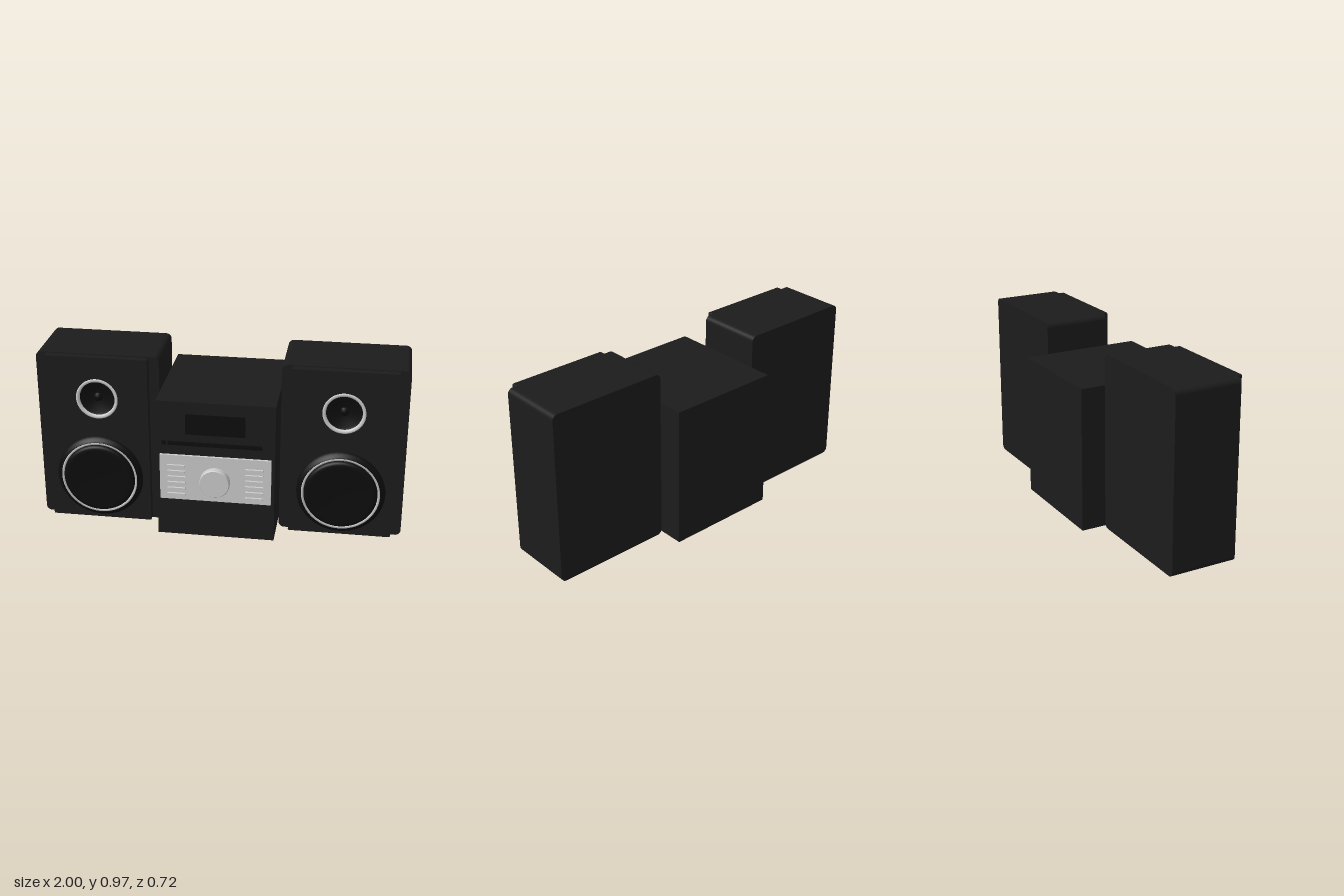
import * as THREE from 'three';

const mat = (color) => new THREE.MeshStandardMaterial({ color });
const black = mat(0x1c1c1c), dark = mat(0x0d0d0d), silver = mat(0xcccccc);

function add(parent, name, geometry, material, x = 0, y = 0, z = 0) {
  const mesh = new THREE.Mesh(geometry, material);
  mesh.name = name;
  mesh.position.set(x, y, z);
  parent.add(mesh);
  return mesh;
}

// Box given by its limits on each axis
function slab(parent, name, material, x0, x1, y0, y1, z0, z1) {
  return add(parent, name, new THREE.BoxGeometry(x1 - x0, y1 - y0, z1 - z0), material,
    (x0 + x1) / 2, (y0 + y1) / 2, (z0 + z1) / 2);
}

// Rectangle standing on y0, centred on x = 0, with rounded corners
function roundedRect(w, y0, y1, r) {
  const s = new THREE.Shape(), h = w / 2;
  s.absarc(h - r, y0 + r, r, -Math.PI / 2, 0);
  s.absarc(h - r, y1 - r, r, 0, Math.PI / 2);
  s.absarc(-h + r, y1 - r, r, Math.PI / 2, Math.PI);
  s.absarc(-h + r, y0 + r, r, Math.PI, Math.PI * 1.5);
  s.closePath();
  return s;
}

// Surface of revolution whose axis points to +z; points are [radius, z], rear to front
function turned(points) {
  const g = new THREE.LatheGeometry(points.map(([r, z]) => new THREE.Vector2(r, z)), 48);
  return g.rotateX(Math.PI / 2);
}

function speaker(name, x) {
  const g = new THREE.Group();
  g.name = name;
  g.position.x = x;
  const woofer = 0.265, tweeter = 0.728;

  // Cabinet with rounded long edges
  add(g, 'cabinet', new THREE.ExtrudeGeometry(roundedRect(0.672, 0, 0.97, 0.03),
    { depth: 0.37, bevelEnabled: false, curveSegments: 6 }), black, 0, 0, -0.225);

  // Narrower front baffle with an opening for the tweeter
  const face = roundedRect(0.56, 0.005, 0.965, 0.006);
  face.holes.push(new THREE.Path().absarc(0, tweeter, 0.1, 0, Math.PI * 2, true));
  add(g, 'baffle', new THREE.ExtrudeGeometry(face,
    { depth: 0.04, bevelEnabled: false, curveSegments: 24 }), black, 0, 0, 0.145);

  // Woofer: stepped surround, bright ring, raised cone
  add(g, 'wooferSurround', turned([[0.24, 0.18], [0.24, 0.19], [0.232, 0.2],
    [0.22, 0.204], [0.216, 0.214], [0.213, 0.214], [0.213, 0.2]]), dark, 0, woofer);
  add(g, 'wooferRing', turned([[0.214, 0.185], [0.214, 0.211], [0.2, 0.211], [0.198, 0.185]]),
    silver, 0, woofer);
  add(g, 'wooferCone', turned([[0.199, 0.185], [0.199, 0.212], [0.192, 0.224],
    [0.182, 0.229], [0.17, 0.228], [0, 0.226]]), dark, 0, woofer);

  // Tweeter: bright ring around a shallow dish and small dome
  add(g, 'tweeterRing', turned([[0.115, 0.18], [0.115, 0.187], [0.108, 0.19],
    [0.098, 0.187], [0.096, 0.175]]), silver, 0, tweeter);
  add(g, 'tweeterDish', turned([[0.1, 0.178], [0.085, 0.17], [0.03, 0.155], [0, 0.155]]),
    dark, 0, tweeter);
  add(g, 'tweeterDome', turned([[0.025, 0.15], [0.022, 0.162], [0.012, 0.169], [0, 0.171]]),
    dark, 0, tweeter);
  return g;
}

function centreUnit() {
  const g = new THREE.Group();
  g.name = 'centreUnit';
  slab(g, 'housing', black, -0.318, 0.318, 0.004, 0.796, -0.357, 0.309);
  slab(g, 'display', dark, -0.16, 0.16, 0.612, 0.728, 0.3, 0.313);

  // Disc slot with its lip and eject button
  slab(g, 'discSlot', dark, -0.255, 0.25, 0.548, 0.568, 0.3, 0.32);
  slab(g, 'ejectButton', dark, -0.288, -0.265, 0.548, 0.568, 0.3, 0.32);

  // Control panel, knob and two columns of keys
  slab(g, 'controlPanel', silver, -0.3, 0.3, 0.227, 0.49, 0.3, 0.323);
  add(g, 'volumeKnob', turned([[0.081, 0.315], [0.081, 0.354], [0.081, 0.354],
    [0.077, 0.36], [0.077, 0.36], [0, 0.36]]), silver, 0, 0.348);
  for (const side of [-1, 1]) {
    for (let i = 0; i < 6; i++) {
      const y = 0.261 + i * 0.0338;
      slab(g, 'key', silver, side * 0.21 - 0.048, side * 0.21 + 0.048, y - 0.006, y + 0.006, 0.31, 0.335);
    }
  }
  return g;
}

export function createModel() {
  const model = new THREE.Group();
  model.name = 'stereoSystem';
  model.add(speaker('leftSpeaker', 0.664), speaker('rightSpeaker', -0.664), centreUnit());
  return model;
}
